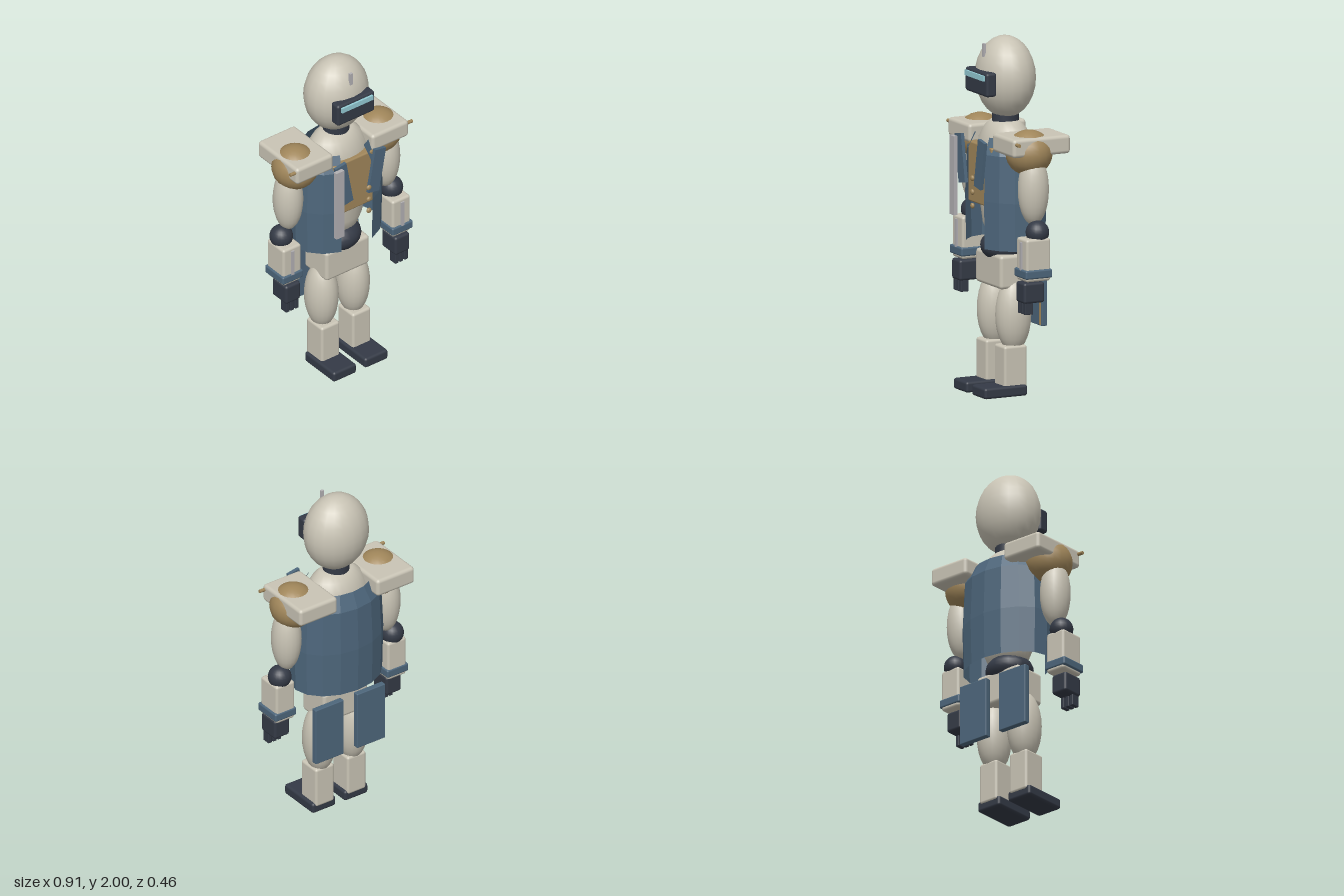
import * as THREE from 'three';
import { RoundedBoxGeometry } from 'three/addons/geometries/RoundedBoxGeometry.js';

const mat = (color, extra = {}) => {
  const m = new THREE.MeshStandardMaterial({ color });
  return Object.assign(m, extra);
};
const cream = mat(0xc9c4b5), blue = mat(0x4d667b), dark = mat(0x343a46);
const gold = mat(0xa0865a), glow = mat(0x93cbd4), grey = mat(0xb2b0b3);
const vestBlue = mat(0x4d667b, { flatShading: true, side: THREE.DoubleSide });

function add(parent, name, geometry, material, x, y, z) {
  const mesh = new THREE.Mesh(geometry, material);
  mesh.name = name;
  mesh.position.set(x, y, z);
  parent.add(mesh);
  return mesh;
}

// Box given by its min and max on each axis, with softened edges
function box(parent, name, material, [x0, x1], [y0, y1], [z0, z1], r = 0.015) {
  const w = x1 - x0, h = y1 - y0, d = z1 - z0;
  const g = r ? new RoundedBoxGeometry(w, h, d, 2, r) : new THREE.BoxGeometry(w, h, d);
  return add(parent, name, g, material, (x0 + x1) / 2, (y0 + y1) / 2, (z0 + z1) / 2);
}

// Ellipsoid by centre and radii
function ball(parent, name, material, [x, y, z], [rx, ry, rz]) {
  const g = new THREE.SphereGeometry(1, 20, 14).scale(rx, ry, rz);
  return add(parent, name, g, material, x, y, z);
}

const lathePoints = (pts) => pts.map(([r, y]) => new THREE.Vector2(r, y));

function buildHead(root) {
  const head = new THREE.Group();
  head.name = 'head';
  root.add(head);
  ball(head, 'helmet', cream, [0, 1.77, -0.02], [0.193, 0.23, 0.163]);
  box(head, 'visor', dark, [-0.13, 0.13], [1.685, 1.82], [0.1, 0.165]);
  box(head, 'visorLight', glow, [-0.108, 0.108], [1.775, 1.805], [0.15, 0.177], 0);
  box(head, 'antenna', grey, [-0.009, 0.009], [1.89, 1.965], [0.105, 0.12], 0);
  add(head, 'neck', new THREE.CylinderGeometry(0.075, 0.075, 0.12, 20), dark, 0, 1.54, -0.02);
}

function buildTorso(root) {
  const torso = new THREE.Group();
  torso.name = 'torso';
  root.add(torso);

  const body = new THREE.LatheGeometry(lathePoints([
    [0, 0.86], [0.12, 0.86], [0.16, 0.95], [0.195, 1.15], [0.205, 1.3],
    [0.19, 1.42], [0.145, 1.49], [0.1, 1.525], [0, 1.535]]), 24);
  add(torso, 'body', body.scale(1, 1, 0.72), cream, 0, 0, -0.02);
  ball(torso, 'waist', dark, [0, 0.82, -0.01], [0.137, 0.09, 0.13]);
  box(torso, 'pelvis', cream, [-0.152, 0.152], [0.6, 0.79], [-0.115, 0.09], 0.02);
  box(torso, 'chestPanel', gold, [-0.14, 0.14], [1.06, 1.4], [0.06, 0.14], 0.01);

  // Sleeveless vest, open at the front
  const vest = new THREE.LatheGeometry(lathePoints([
    [0.278, 0.83], [0.285, 1.1], [0.272, 1.36], [0.215, 1.45]]),
  14, Math.PI / 8, Math.PI * 1.75);
  add(torso, 'vest', vest.scale(1, 1, 0.73), vestBlue, 0, 0, -0.022);

  for (const s of [-1, 1]) {
    const lapel = box(torso, 'lapel', blue, [-0.038, 0.038], [-0.137, 0.137], [0.185, 0.205], 0);
    lapel.position.set(s * 0.114, 1.31, 0.195);
    lapel.rotation.z = -s * 0.18;
  }
  box(torso, 'strap', grey, [-0.19, -0.135], [0.985, 1.43], [0.207, 0.23], 0);
  for (const y of [1.07, 1.147, 1.225]) {
    ball(torso, 'button', gold, [0.05, y, 0.212], [0.016, 0.016, 0.011]);
  }
}

// Everything that occurs on both sides, s = 1 for left and -1 for right
function buildSide(root, s) {
  const side = s > 0 ? 'left' : 'right';
  const arm = new THREE.Group(), leg = new THREE.Group();
  arm.name = side + 'Arm';
  leg.name = side + 'Leg';
  root.add(arm, leg);
  const span = (a, b) => (s > 0 ? [a, b] : [-b, -a]);

  // Shoulder
  ball(arm, 'shoulder', gold, [s * 0.29, 1.39, -0.015], [0.132, 0.128, 0.132]);
  box(arm, 'shoulderPad', cream, span(0.135, 0.392), [1.383, 1.488], [-0.224, 0.135], 0.02);
  ball(arm, 'padDome', gold, [s * 0.29, 1.48, -0.022], [0.07, 0.032, 0.077]);
  const peg = add(arm, 'padPeg', new THREE.CylinderGeometry(0.01, 0.01, 0.08, 12), gold,
    s * 0.386, 1.46, 0.115);
  peg.rotation.z = Math.PI / 2;

  // Arm and hand
  ball(arm, 'upperArm', cream, [s * 0.338, 1.19, -0.017], [0.084, 0.2, 0.088]);
  ball(arm, 'elbow', dark, [s * 0.384, 0.957, -0.018], [0.066, 0.066, 0.066]);
  box(arm, 'forearm', cream, span(0.318, 0.444), [0.69, 0.93], [-0.072, 0.08]);
  box(arm, 'cuff', blue, span(0.31, 0.455), [0.708, 0.758], [-0.077, 0.09], 0.01);
  box(arm, 'forearmBar', grey, span(0.373, 0.393), [0.74, 0.91], [0.07, 0.089], 0);
  box(arm, 'palm', dark, span(0.33, 0.433), [0.568, 0.685], [-0.04, 0.09]);
  for (const i of [-1, 0, 1]) {
    const x = 0.381 + i * 0.032;
    box(arm, 'finger', dark, span(x - 0.012, x + 0.012), [0.505, 0.585], [0.03, 0.08], 0.004);
  }

  // Leg and foot
  ball(leg, 'thigh', cream, [s * 0.109, 0.45, -0.012], [0.093, 0.21, 0.103]);
  box(leg, 'shin', cream, span(0.045, 0.172), [0.04, 0.283], [-0.068, 0.075]);
  box(leg, 'foot', dark, span(0.03, 0.19), [0, 0.062], [-0.062, 0.207]);

  // Hanging rear panel with a trim strip
  box(leg, 'rearPanel', blue, span(0.045, 0.238), [0.393, 0.745], [-0.157, -0.122], 0.005);
  box(leg, 'panelTrim', gold, span(0.214, 0.228), [0.4, 0.738], [-0.13, -0.117], 0);
}

export function createModel() {
  const root = new THREE.Group();
  root.name = 'armoredFigure';
  buildHead(root);
  buildTorso(root);
  for (const s of [1, -1]) buildSide(root, s);
  return root;
}
